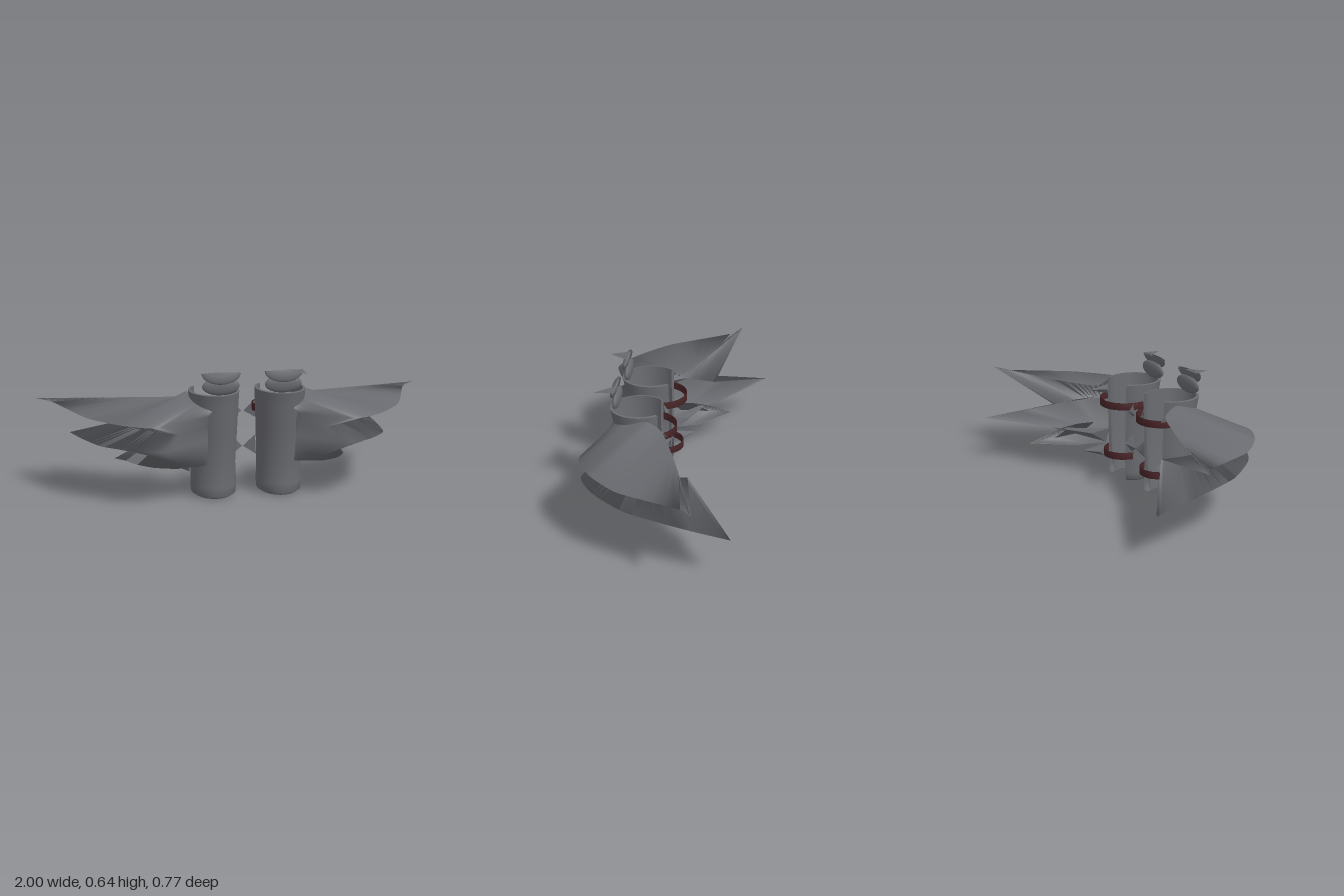
import * as THREE from 'three';

const steel = new THREE.MeshStandardMaterial({ color: 0x696a6f, side: THREE.DoubleSide });
steel.name = 'dark steel';
const leather = new THREE.MeshStandardMaterial({ color: 0x482427, side: THREE.DoubleSide });
leather.name = 'brown leather';

// Surface through rows of points; every row has the same number of points
function loft(rows) {
  const n = rows[0].length, pos = [], idx = [];
  rows.forEach(r => r.forEach(p => pos.push(p.x, p.y, p.z)));
  for (let i = 0; i < rows.length - 1; i++)
    for (let j = 0; j < n - 1; j++) {
      const a = i * n + j, b = a + n;
      idx.push(a, a + 1, b, a + 1, b + 1, b);
    }
  const g = new THREE.BufferGeometry();
  g.setAttribute('position', new THREE.Float32BufferAttribute(pos, 3));
  g.setIndex(idx);
  g.computeVertexNormals();
  return g;
}

function add(group, name, geometry, material = steel) {
  const m = new THREE.Mesh(geometry, material);
  m.name = name;
  group.add(m);
  return m;
}

// Shin shell levels: y, half width, half depth, centre z (outside up, then inside down)
const SHELL = [
  [[0.012, 0.07, 0.086, 0.122], [0.002, 0.092, 0.104, 0.125], [0.014, 0.11, 0.117, 0.126],
    [0.06, 0.114, 0.118, 0.126], [0.17, 0.11, 0.113, 0.123], [0.33, 0.116, 0.13, 0.134],
    [0.46, 0.121, 0.138, 0.14], [0.527, 0.124, 0.146, 0.147]],
  [[0.527, 0.124, 0.146, 0.147], [0.529, 0.112, 0.132, 0.147]],
  [[0.529, 0.112, 0.132, 0.147], [0.33, 0.102, 0.116, 0.134], [0.17, 0.092, 0.1, 0.123],
    [0.012, 0.07, 0.086, 0.122]],
];

// Wing pleats, alternating outer edges and inner valleys from top to bottom
const PLEATS = [
  [[0.2, 0.45, 0.28], [0.265, 0.48, 0.22], [0.292, 0.52, 0.09], [0.315, 0.48, 0.01], [0.6, 0.466, -0.103], [1, 0.455, -0.23]],
  [[0.22, 0.43, 0.28], [0.49, 0.408, 0.382], [0.64, 0.41, 0.305], [0.79, 0.42, 0.14], [0.925, 0.445, -0.17], [1, 0.455, -0.23]],
  [[0.22, 0.37, 0.255], [0.38, 0.348, 0.276], [0.47, 0.348, 0.2], [0.51, 0.35, 0.1], [0.52, 0.352, -0.02], [0.5, 0.355, -0.14]],
  [[0.22, 0.31, 0.265], [0.46, 0.29, 0.382], [0.6, 0.286, 0.3], [0.72, 0.272, 0.12], [0.785, 0.25, -0.17], [0.82, 0.236, -0.385]],
  [[0.22, 0.23, 0.245], [0.36, 0.2, 0.26], [0.44, 0.21, 0.18], [0.48, 0.22, 0.08], [0.48, 0.228, -0.02], [0.46, 0.23, -0.12]],
  [[0.22, 0.18, 0.23], [0.36, 0.168, 0.235], [0.47, 0.158, 0.15], [0.54, 0.15, 0.03], [0.57, 0.138, -0.1], [0.61, 0.121, -0.23]],
  [[0.22, 0.165, 0.2], [0.27, 0.16, 0.17], [0.3, 0.158, 0.12], [0.33, 0.156, 0.06], [0.36, 0.15, 0], [0.4, 0.14, -0.06]],
];

// Small thorns: two base corners, ridge corner and tip
const THORNS = [
  [[0.06, 0.46, 0.07], [0.06, 0.37, 0.07], [0.07, 0.41, 0.04], [0.005, 0.4, 0.045]],
  [[0.06, 0.28, 0.07], [0.065, 0.18, 0.07], [0.07, 0.23, 0.03], [0.002, 0.22, 0.05]],
  [[0.27, 0.25, 0.06], [0.27, 0.18, 0.04], [0.3, 0.23, -0.03], [0.57, 0.2, -0.11]],
  [[0.27, 0.17, 0.06], [0.27, 0.1, 0.04], [0.27, 0.13, 0], [0.36, 0.122, -0.055]],
  [[0.27, 0.5, 0.08], [0.27, 0.44, 0.06], [0.26, 0.47, 0.04], [0.32, 0.46, -0.02]],
];

function makeGreave(s) {
  const g = new THREE.Group();
  g.name = s > 0 ? 'leftGreave' : 'rightGreave';
  const cx = 0.167, V = (x, y, z) => new THREE.Vector3(s * x, y, z);

  // Shin shell, open at the back, with a slanted hem and rim
  const open = THREE.MathUtils.degToRad(135), seg = 40;
  const ring = ([y, rx, rz, cz]) => Array.from({ length: seg + 1 }, (_, i) => {
    const a = -open + (2 * open * i) / seg;
    const z = cz + rz * Math.cos(a);
    const slant = y < 0.05 ? 0.08 * (0.24 - z) : y > 0.5 ? 0.035 * (0.29 - z) : 0;
    return V(cx + rx * Math.sin(a), y + slant, z);
  });
  ['shinShell', 'shellRim', 'shellLining'].forEach((name, i) => add(g, name, loft(SHELL[i].map(ring))));
  // Narrow walls closing the shell along the back opening
  for (const e of [0, seg]) {
    const edge = lv => ring(lv)[e];
    const outer = [SHELL[0][0], SHELL[0][4], SHELL[0][5], SHELL[0][7]].map(edge);
    const inner = [...SHELL[2]].reverse().map(edge);
    add(g, 'shellBackEdge', loft([outer, inner]));
  }

  // Pleated wing, one smooth folded sheet
  add(g, 'wing', loft(PLEATS.map(r =>
    new THREE.CatmullRomCurve3(r.map(p => V(...p)), false, 'catmullrom', 0.3).getPoints(30))));

  // Thorns beside the wing and on the inner side
  for (const t of THORNS) {
    const [a, b, c, tip] = t.map(p => V(...p));
    const geo = new THREE.BufferGeometry().setFromPoints([a, b, tip, b, c, tip, c, a, tip]);
    geo.computeVertexNormals();
    add(g, 'thorn', geo);
  }

  // Leather straps around the open back, the lower one narrower
  const band = [[0.95, -0.018], [1, -0.018], [1, 0.018], [0.95, 0.018], [0.95, -0.018]].map(p => new THREE.Vector2(...p));
  for (const [y, rx, rz, z] of [[0.43, 0.128, 0.138, 0.1], [0.155, 0.102, 0.115, 0.095]]) {
    const strap = add(g, 'strap', new THREE.LatheGeometry(band, 40, Math.PI * 0.45, Math.PI * 1.1), leather);
    strap.scale.set(rx, 1, rz);
    strap.position.set(s * cx, y, z);
  }

  // Knee crest: a lens plate, a half-round cap and a pointed visor
  const lens = add(g, 'kneeLens', new THREE.SphereGeometry(1, 24, 14));
  lens.scale.set(0.092, 0.044, 0.018);
  lens.position.set(s * 0.155, 0.57, 0.258);
  const cap = add(g, 'kneeCap', new THREE.SphereGeometry(1, 24, 8, 0, Math.PI * 2, Math.PI / 2, Math.PI / 2));
  cap.scale.set(0.096, 0.056, 0.016);
  cap.rotation.x = -0.3;
  cap.position.set(s * 0.155, 0.635, 0.264);
  const [baseA, baseB, tipX] = s > 0 ? [0.17, 0.25, 0.245] : [0.12, 0.22, 0.19];
  const visor = new THREE.BufferGeometry().setFromPoints([
    V(baseA, 0.638, 0.262), V(tipX, 0.631, 0.358), V(baseB, 0.638, 0.262)]);
  visor.computeVertexNormals();
  add(g, 'kneeVisor', visor);
  return g;
}

export function createModel() {
  const model = new THREE.Group();
  model.name = 'wingedGreaves';
  model.add(makeGreave(1), makeGreave(-1));
  return model;
}
